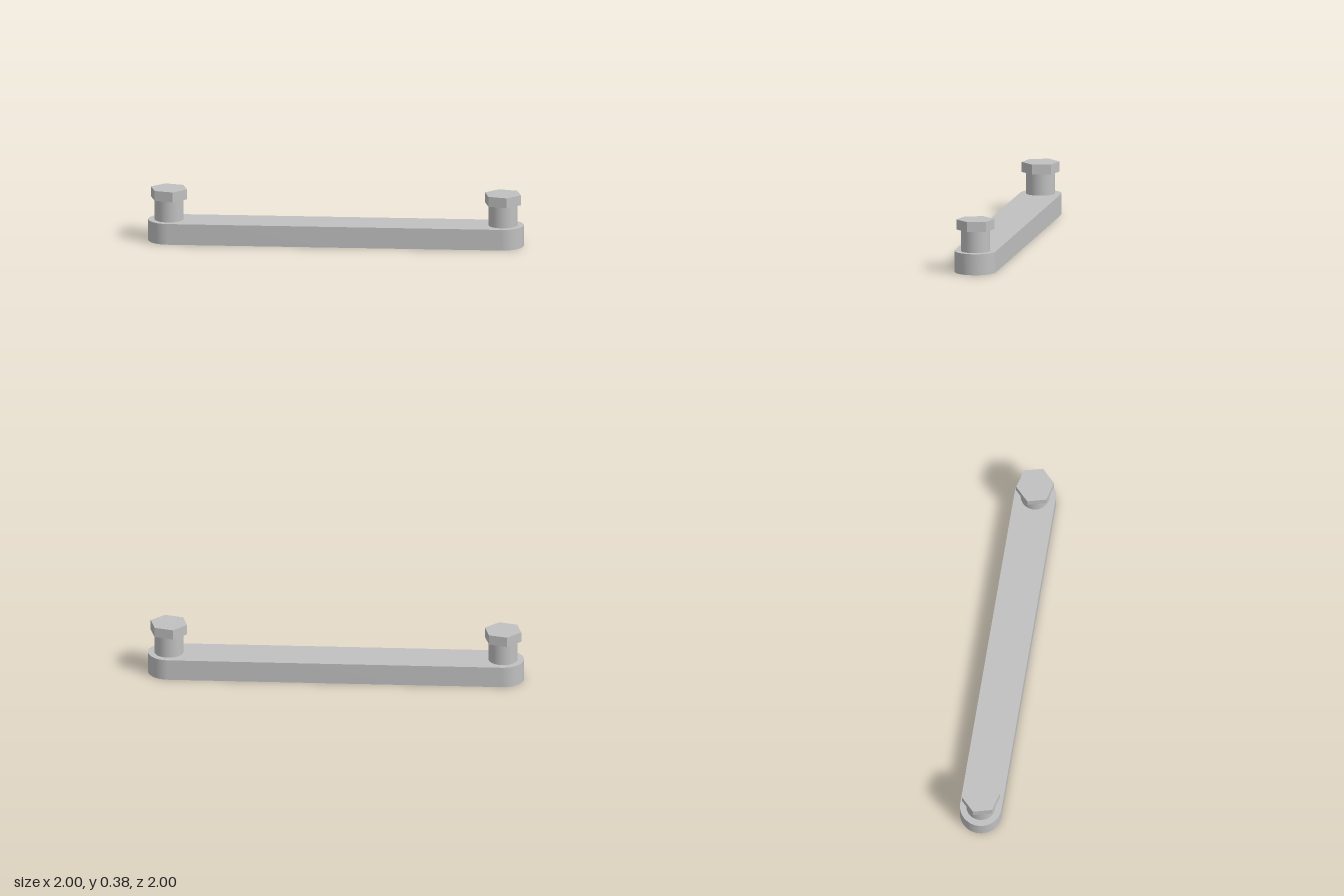
import * as THREE from 'three';
import { toCreasedNormals } from 'three/addons/utils/BufferGeometryUtils.js';

export function createModel() {
  const group = new THREE.Group();
  const steel = new THREE.MeshStandardMaterial({ color: 0xc0c0c0 });
  steel.name = 'steel grey';

  const add = (name, geometry, parent) => {
    const mesh = new THREE.Mesh(geometry, steel);
    mesh.name = name;
    parent.add(mesh);
    return mesh;
  };

  const pinOffset = 0.85;                    // pin position along x and z
  const half = pinOffset * Math.SQRT2;       // half the distance between pins
  const radius = 0.15;
  const barTop = 0.153, shaftTop = 0.31, headTop = 0.383;

  // Link bar: a slot-shaped plate laid flat on the diagonal
  const outline = new THREE.Shape();
  outline.absarc(half, 0, radius, -Math.PI / 2, Math.PI / 2);
  outline.absarc(-half, 0, radius, Math.PI / 2, Math.PI * 1.5);
  outline.closePath();
  const barGeometry = new THREE.ExtrudeGeometry(outline, {
    depth: barTop, bevelEnabled: false, curveSegments: 32,
  });
  barGeometry.rotateX(-Math.PI / 2).rotateY(-Math.PI / 4);
  add('linkBar', toCreasedNormals(barGeometry, Math.PI / 6), group);

  // Pins: round shaft with a hexagonal head at each end
  const shaftGeometry = new THREE.CylinderGeometry(0.104, 0.104, shaftTop - barTop, 48);
  const headGeometry = toCreasedNormals(
    new THREE.CylinderGeometry(0.137, 0.137, headTop - shaftTop, 6).rotateY(Math.PI / 2),
    Math.PI / 6,
  );
  for (const [side, name] of [[1, 'frontPin'], [-1, 'backPin']]) {
    const pin = new THREE.Group();
    pin.name = name;
    pin.position.set(side * pinOffset, 0, side * pinOffset);
    add('shaft', shaftGeometry, pin).position.y = (barTop + shaftTop) / 2;
    add('hexHead', headGeometry, pin).position.y = (shaftTop + headTop) / 2;
    group.add(pin);
  }

  return group;
}
